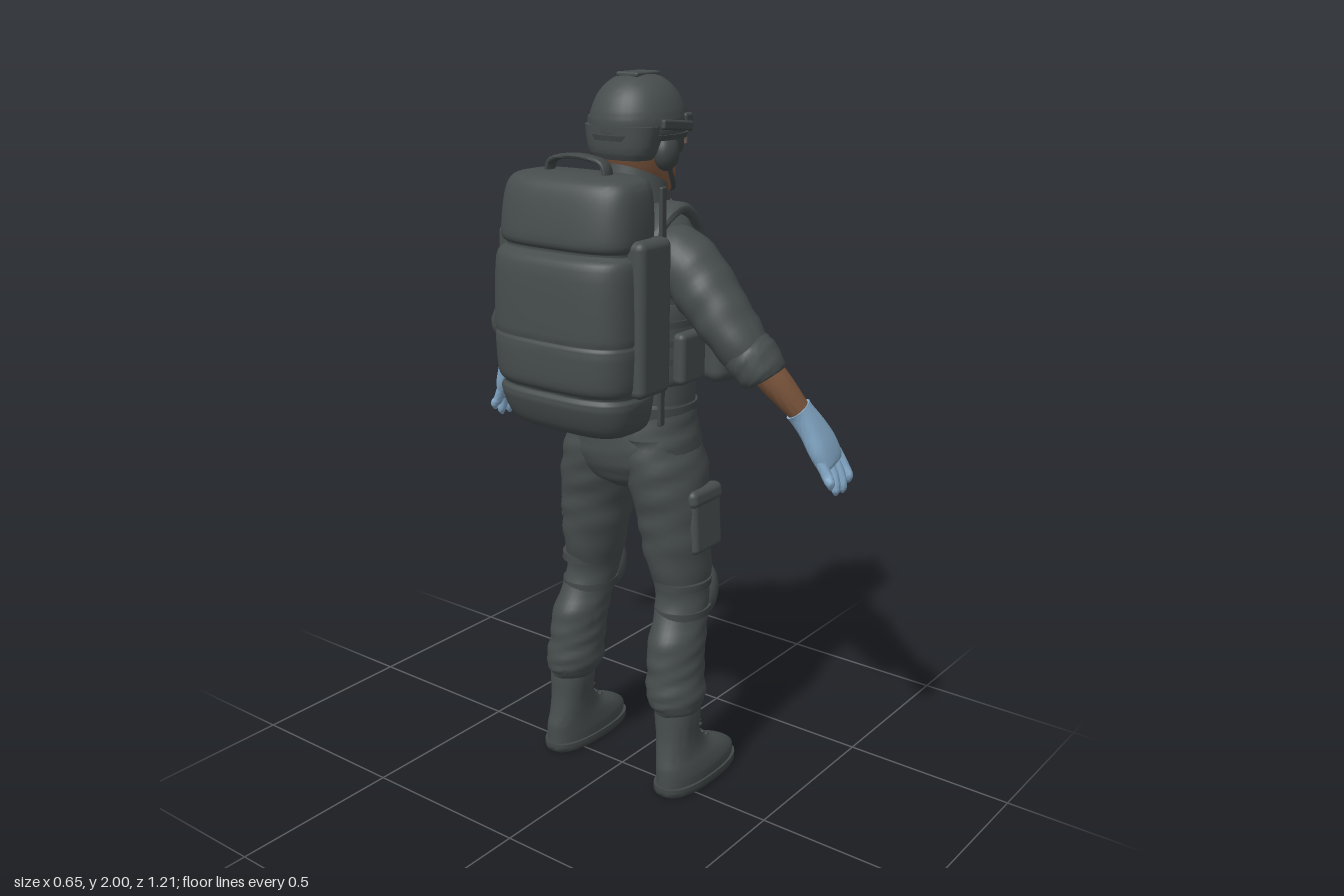
import * as THREE from 'three';
import { toCreasedNormals } from 'three/addons/utils/BufferGeometryUtils.js';
import { RoundedBoxGeometry } from 'three/addons/geometries/RoundedBoxGeometry.js';

const mat = (name, color, side = THREE.FrontSide) => {
  const m = new THREE.MeshStandardMaterial({ color, side });
  m.name = name;
  return m;
};
const V = (x, y, z) => new THREE.Vector3(x, y, z);

// Smooth closed loft. Rows are [x, y, z, halfU, halfV]; rings are level, or square to the path when ref is given.
function loftGeometry(rows, { p = 2, ref = null, seg = 36, sub = 5, fold = 0 } = {}) {
  const n = (rows.length - 1) * sub, rings = [];
  for (let i = 0; i <= n; i++) {
    const k = Math.min(Math.floor(i / sub), rows.length - 2), t = i / sub - k;
    const r = j => rows[Math.max(0, Math.min(rows.length - 1, j))];
    rings.push(rows[0].map((_, c) => {
      const a = r(k)[c], b = r(k + 1)[c], m0 = (b - r(k - 1)[c]) / 2, m1 = (r(k + 2)[c] - a) / 2;
      return a + m0 * t + (3 * (b - a) - 2 * m0 - m1) * t * t + (2 * (a - b) + m0 + m1) * t * t * t;
    }));
  }
  const pos = [], idx = [], pw = v => Math.sign(v) * Math.abs(v) ** (2 / p);
  rings.forEach((r, i) => {
    const q = rings[Math.max(0, i - 1)], s = rings[Math.min(n, i + 1)];
    const T = ref ? V(s[0] - q[0], s[1] - q[1], s[2] - q[2]).normalize() : V(0, 1, 0);
    const W = ref ? ref.clone().addScaledVector(T, -ref.dot(T)).normalize() : V(0, 0, 1);
    const U = T.clone().cross(W);
    for (let j = 0; j < seg; j++) {
      const a = j / seg * Math.PI * 2;
      const f = 1 + fold * Math.sin(i * 1.35 + 2 * Math.sin(a + i * 0.2)) * Math.sin(a * 2 + i * 0.3);
      const o = V(r[0], r[1], r[2]).addScaledVector(U, r[3] * f * pw(Math.cos(a))).addScaledVector(W, r[4] * f * pw(Math.sin(a)));
      pos.push(o.x, o.y, o.z);
    }
  });
  for (let i = 0; i < n; i++) for (let j = 0; j < seg; j++) {
    const a = i * seg + j, b = i * seg + (j + 1) % seg;
    idx.push(a, a + seg, b, b, a + seg, b + seg);
  }
  const c0 = pos.length / 3;
  pos.push(...rings[0].slice(0, 3), ...rings[n].slice(0, 3));
  for (let j = 0; j < seg; j++) {
    const k = (j + 1) % seg;
    idx.push(c0, j, k, c0 + 1, n * seg + k, n * seg + j);
  }
  const g = new THREE.BufferGeometry();
  g.setAttribute('position', new THREE.Float32BufferAttribute(pos, 3));
  g.setIndex(idx);
  return toCreasedNormals(g, 0.9);
}

export function createModel() {
  const fabric = mat('dark grey fabric', 0x474d4d, THREE.DoubleSide);
  const gear = mat('darker gear', 0x414646);
  const skin = mat('skin', 0x80593f);
  const glove = mat('blue glove', 0x86abca);
  const lens = mat('goggle lens', 0x665850);

  const body = new THREE.Group();
  body.name = 'figure';
  const add = (name, geo, m, at = [0, 0, 0], rot = [0, 0, 0]) => {
    const mesh = new THREE.Mesh(geo, m);
    mesh.name = name;
    mesh.position.set(...at);
    mesh.rotation.set(...rot);
    body.add(mesh);
    return mesh;
  };
  const loft = (name, rows, m, opt) => add(name, loftGeometry(rows, opt), m);
  const box = (name, [w, h, d], at, m = fabric, rot, r = 0.4) =>
    add(name, new RoundedBoxGeometry(w, h, d, 3, Math.min(w, h, d) * r), m, at, rot);
  const ball = (name, [a, b, c], at, m, rot) => {
    const g = new THREE.SphereGeometry(1, 28, 18);
    g.scale(a, b, c);
    return add(name, g, m, at, rot);
  };
  const tube = (name, pts, r, m) =>
    add(name, new THREE.TubeGeometry(new THREE.CatmullRomCurve3(pts.map(q => V(...q))), 20, r, 8), m);
  const X = V(1, 0, 0), Z = V(0, 0, 1);

  // Trunk and trousers seat
  loft('shirt', [[0, 1.1, .06, .17, .125], [0, 1.22, .06, .175, .125], [0, 1.4, .055, .18, .125], [0, 1.54, .045, .2, .125],
    [0, 1.62, .04, .17, .105], [0, 1.67, .04, .11, .085], [0, 1.69, .04, .06, .06]], fabric, { p: 2.4, fold: .012 });
  loft('trouserSeat', [[0, .885, .055, .05, .07], [0, .92, .055, .14, .115], [0, .99, .055, .195, .142], [0, 1.07, .055, .187, .138],
    [0, 1.15, .06, .172, .128]], fabric, { p: 2.3, fold: .015 });
  loft('belt', [[0, 1.095, .06, .181, .138], [0, 1.135, .06, .179, .136]], gear, { p: 2.3 });
  box('beltBuckle', [.06, .04, .02], [0, 1.115, .2], gear);
  box('trouserFly', [.012, .13, .008], [0, 1.02, .197], fabric);

  // Vest
  loft('vest', [[0, 1.2, .06, .185, .135], [0, 1.23, .06, .193, .142], [0, 1.38, .06, .192, .142], [0, 1.42, .058, .185, .14]], fabric, { p: 2.7 });
  box('chestPlate', [.29, .36, .06], [0, 1.4, .18], fabric, [-.05, 0, 0]);
  box('backPlate', [.3, .38, .05], [0, 1.4, -.07], fabric);
  box('chestPanel', [.17, .09, .012], [-.02, 1.5, .212], fabric, [-.05, 0, 0]);
  for (const y of [1.26, 1.31, 1.36])
    loft('vestWebbing', [[0, y, .06, .197, .146], [0, y + .018, .06, .197, .146]], gear, { p: 2.7, sub: 1 });

  // Magazine pouches with flaps and contents
  [-.085, 0, .085].forEach((x, i) => {
    const z = .245 + (i === 1 ? .015 : 0);
    box('magazinePouch', [.076, .17, .085], [x, 1.285, z], fabric, [0, x, 0], .25);
    box('pouchFlap', [.08, .06, .092], [x, 1.36, z], fabric, [.08, x, 0], .25);
    box('pouchStrap', [.018, .12, .008], [x, 1.3, z + .046], gear, [0, x, 0]);
    box('pouchClip', [.03, .02, .014], [x, 1.335, z + .052], gear);
  });
  for (const x of [-.1, -.07, -.045])
    add('toolHandle', new THREE.CylinderGeometry(.01, .012, .07, 10), gear, [x, 1.415, .24], [.15, 0, x]);
  tube('looseCord', [[-.1, 1.45, .235], [-.06, 1.465, .25], [-.03, 1.43, .25], [-.04, 1.4, .27]], .006, gear);
  box('radio', [.05, .13, .045], [.085, 1.44, .235], gear, [-.1, 0, -.12]);
  box('radioHead', [.065, .03, .045], [.085, 1.545, .235], gear, [-.1, 0, -.1]);
  tube('radioCable', [[.085, 1.55, .235], [.095, 1.5, .265], [.1, 1.42, .275], [.08, 1.36, .28]], .009, gear);

  // Head, neck and collar
  loft('neck', [[0, 1.6, .05, .07, .07], [0, 1.68, .055, .062, .068], [0, 1.78, .06, .065, .075]], skin);
  loft('head', [[0, 1.675, .135, .028, .03], [0, 1.69, .12, .05, .06], [0, 1.73, .095, .072, .09], [0, 1.79, .078, .082, .108],
    [0, 1.86, .07, .085, .115], [0, 1.92, .065, .075, .1]], skin, { p: 2.2 });
  loft('nose', [[0, 1.755, .188, .018, .016], [0, 1.775, .188, .02, .022], [0, 1.82, .18, .01, .012]], skin, { seg: 14 });
  box('mouth', [.05, .014, .014], [0, 1.727, .182], skin);
  const collar = new THREE.CylinderGeometry(.088, .108, .11, 40, 4, true, .3, Math.PI * 2 - .6);
  const cp = collar.attributes.position;
  for (let i = 0; i < cp.count; i++) cp.setY(i, cp.getY(i) - cp.getZ(i) * .45);
  collar.computeVertexNormals();
  add('collar', collar, fabric, [0, 1.68, .05]);
  for (const s of [-1, 1])
    box('collarLapel', [.022, .1, .012], [s * .04, 1.62, .158], fabric, [-.25, s * .3, s * -.35]);

  // Helmet
  loft('helmet', [[0, 1.835, .068, .112, .128], [0, 1.86, .068, .119, .134], [0, 1.9, .068, .117, .132], [0, 1.95, .067, .096, .108],
    [0, 1.985, .066, .06, .068], [0, 2, .066, .015, .018]], fabric, { p: 2.15 });
  loft('helmetNape', [[0, 1.785, .0, .085, .05], [0, 1.81, .005, .1, .066], [0, 1.87, .01, .112, .075]], fabric, { p: 2.4 });
  loft('helmetRim', [[0, 1.834, .068, .119, .135], [0, 1.848, .068, .123, .138]], gear, { p: 2.15, sub: 1 });
  box('lampMount', [.05, .07, .03], [0, 1.915, .195], gear, [-.25, 0, 0]);
  box('lampBracket', [.036, .03, .036], [0, 1.93, .215], gear);
  box('crownPatch', [.07, .012, .1], [0, 1.995, .066], fabric);

  // Goggles
  const goggle = (w, h) => loftGeometry([[0, 1.825 - h, .115, w, .083], [0, 1.825 - h * .5, .115, w + .006, .089],
    [0, 1.825 + h * .5, .115, w + .006, .089], [0, 1.825 + h, .112, w, .083]], { p: 2.7 });
  add('goggleFrame', goggle(.076, .036), gear);
  for (const s of [-1, 1]) box('goggleLens', [.06, .04, .009], [s * .034, 1.827, .203], lens, [0, s * .14, 0]);
  box('goggleNosePiece', [.024, .026, .02], [0, 1.806, .2], skin);

  for (const s of [-1, 1]) {
    // Headset, chin strap and helmet rails
    ball('earCup', [.03, .047, .04], [s * .098, 1.8, .06], gear);
    box('helmetRail', [.016, .026, .13], [s * .12, 1.87, .075], gear, [.1, 0, 0]);
    box('helmetClamp', [.02, .045, .035], [s * .108, 1.875, .135], gear);
    tube('chinStrap', [[s * .088, 1.79, .07], [s * .078, 1.735, .11], [s * .045, 1.695, .16], [0, 1.69, .174]], .007, gear);

    // Shoulder straps
    loft('vestStrap', [[s * .115, 1.53, .18, .012, .035], [s * .125, 1.61, .135, .012, .036], [s * .13, 1.665, .05, .016, .038],
      [s * .13, 1.61, -.05, .012, .036], [s * .12, 1.5, -.09, .012, .034]], fabric, { p: 3.5, ref: X, seg: 24 });
    box('strapBuckle', [.05, .035, .018], [s * .118, 1.545, .182], gear, [-.5, 0, 0]);

    // Sleeve, rolled cuff and forearm
    loft('sleeve', [[s * .1, 1.56, .02, .07, .085], [s * .19, 1.53, .018, .086, .092], [s * .275, 1.45, .015, .08, .086],
      [s * .35, 1.365, .018, .07, .08], [s * .425, 1.275, .035, .055, .066]], fabric, { ref: Z, fold: .035, sub: 7 });
    loft('rolledCuff', [[s * .38, 1.33, .025, .064, .074], [s * .4, 1.307, .028, .068, .077], [s * .43, 1.27, .036, .061, .07],
      [s * .437, 1.26, .038, .05, .058]], fabric, { ref: Z, fold: .02 });
    box('sleevePatch', [.012, .09, .08], [s * .295, 1.51, .02], fabric, [0, 0, s * .7]);
    loft('forearm', [[s * .41, 1.3, .035, .042, .048], [s * .455, 1.235, .07, .038, .044], [s * .505, 1.155, .112, .027, .032]], skin, { ref: Z });

    // Gloved hand
    loft('glovePalm', [[s * .495, 1.172, .103, .033, .039], [s * .503, 1.158, .11, .032, .038], [s * .523, 1.12, .13, .03, .046],
      [s * .545, 1.07, .15, .028, .056], [s * .562, 1.025, .166, .022, .053], [s * .567, 1.015, .169, .012, .045]], glove, { ref: Z, p: 2.4 });
    [[.118, .965, .12], [.146, .942, .15], [.175, .94, .185], [.205, .96, .215]].forEach(([z, y, z2]) =>
      loft('gloveFinger', [[s * .555, 1.045, z, .015, .016], [s * .578, 1.0, (z + z2) / 2 + .004, .0145, .0155],
        [s * .59, y + .018, z2, .013, .014], [s * .59, y, z2 + .002, .004, .004]], glove, { ref: Z, seg: 14 }));
    loft('gloveThumb', [[s * .525, 1.11, .15, .018, .02], [s * .527, 1.075, .195, .018, .019], [s * .53, 1.035, .222, .014, .015],
      [s * .532, 1.005, .232, .005, .005]], glove, { ref: Z, seg: 16 });

    // Side pouches on the vest
    box('sidePouch', [.1, .19, .13], [s * .215, 1.285, .17], fabric, [0, s * .3, 0], .35);
    box('sidePouchFlap', [.108, .065, .14], [s * .215, 1.36, .17], fabric, [0, s * .3, 0], .35);
    box('sidePouchStrap', [.02, .1, .01], [s * .237, 1.3, .238], gear, [0, s * .3, 0]);
    box('hipPouch', [.04, .14, .11], [s * .2, 1.28, .03], fabric);

    // Trouser leg, pocket and knee pad
    loft('trouserLeg', [[s * .193, .245, .008, .06, .07], [s * .187, .29, .01, .08, .092], [s * .18, .37, .016, .076, .092],
      [s * .175, .46, .03, .074, .096], [s * .163, .57, .07, .072, .085], [s * .148, .7, .065, .09, .105], [s * .135, .82, .06, .1, .115],
      [s * .113, .95, .055, .104, .132], [s * .09, 1.05, .055, .09, .13]], fabric, { fold: .035, sub: 6 });
    box('cargoPocket', [.04, .16, .13], [s * .222, .8, .08], fabric, [0, 0, s * .06]);
    box('cargoFlap', [.045, .05, .14], [s * .219, .88, .08], fabric, [0, 0, s * .12]);
    ball('kneePad', [.066, .092, .052], [s * .168, .57, .135], fabric, [.1, s * .15, 0]);
    ball('kneeCap', [.048, .062, .03], [s * .17, .575, .166], gear, [.1, s * .15, 0]);
    for (const y of [.525, .61]) loft('kneeStrap', [[s * .168, y, .062, .076, .09], [s * .168, y + .02, .064, .076, .09]], gear, { sub: 1 });

    // Boot
    loft('boot', [[s * .206, .025, .083, .064, .16], [s * .206, .055, .082, .066, .16], [s * .204, .085, .06, .062, .138],
      [s * .2, .12, .025, .056, .095], [s * .197, .17, .008, .055, .07], [s * .195, .23, .008, .06, .069], [s * .195, .275, .008, .06, .068]],
      fabric, { p: 2.3 });
    loft('sole', [[s * .206, 0, .083, .065, .16], [s * .206, .008, .083, .07, .167], [s * .206, .028, .083, .07, .167]], gear, { p: 2.5, sub: 2 });
    for (let i = 0; i < 6; i++)
      box('bootLace', [.05, .009, .012], [s * .2, .115 + i * .024, [.122, .1, .087, .08, .077, .077][i]], gear, [0, 0, i % 2 ? .2 : -.2]);

    // Backpack side pocket
    box('packSidePocket', [.06, .4, .13], [s * .21, 1.42, -.165], fabric, [0, 0, 0], .35);
    box('packSideStrap', [.012, .62, .022], [s * .205, 1.43, -.1], gear);
  }
  tube('microphoneBoom', [[.1, 1.775, .08], [.085, 1.73, .14], [.05, 1.71, .185], [.02, 1.712, .195]], .006, gear);

  // Backpack
  loft('backpack', [[0, 1.098, -.18, .13, .06], [0, 1.125, -.185, .19, .1], [0, 1.2, -.195, .21, .122], [0, 1.222, -.193, .203, .115],
    [0, 1.25, -.2, .213, .126], [0, 1.34, -.202, .218, .128], [0, 1.36, -.2, .214, .124], [0, 1.38, -.202, .218, .128],
    [0, 1.55, -.2, .213, .124], [0, 1.583, -.185, .197, .106], [0, 1.61, -.19, .207, .116], [0, 1.71, -.183, .203, .108],
    [0, 1.755, -.178, .185, .09], [0, 1.768, -.175, .14, .05]], fabric, { p: 3.2, seg: 48 });
  loft('packHandle', [[-.095, 1.755, -.18, .007, .018], [-.08, 1.795, -.18, .007, .018], [0, 1.808, -.18, .007, .018],
    [.08, 1.795, -.18, .007, .018], [.095, 1.755, -.18, .007, .018]], gear, { ref: Z, p: 3.5, seg: 16 });

  // Turn the figure to face +x
  body.rotation.y = Math.PI / 2;
  const model = new THREE.Group();
  model.name = 'equippedMedic';
  model.add(body);
  return model;
}
